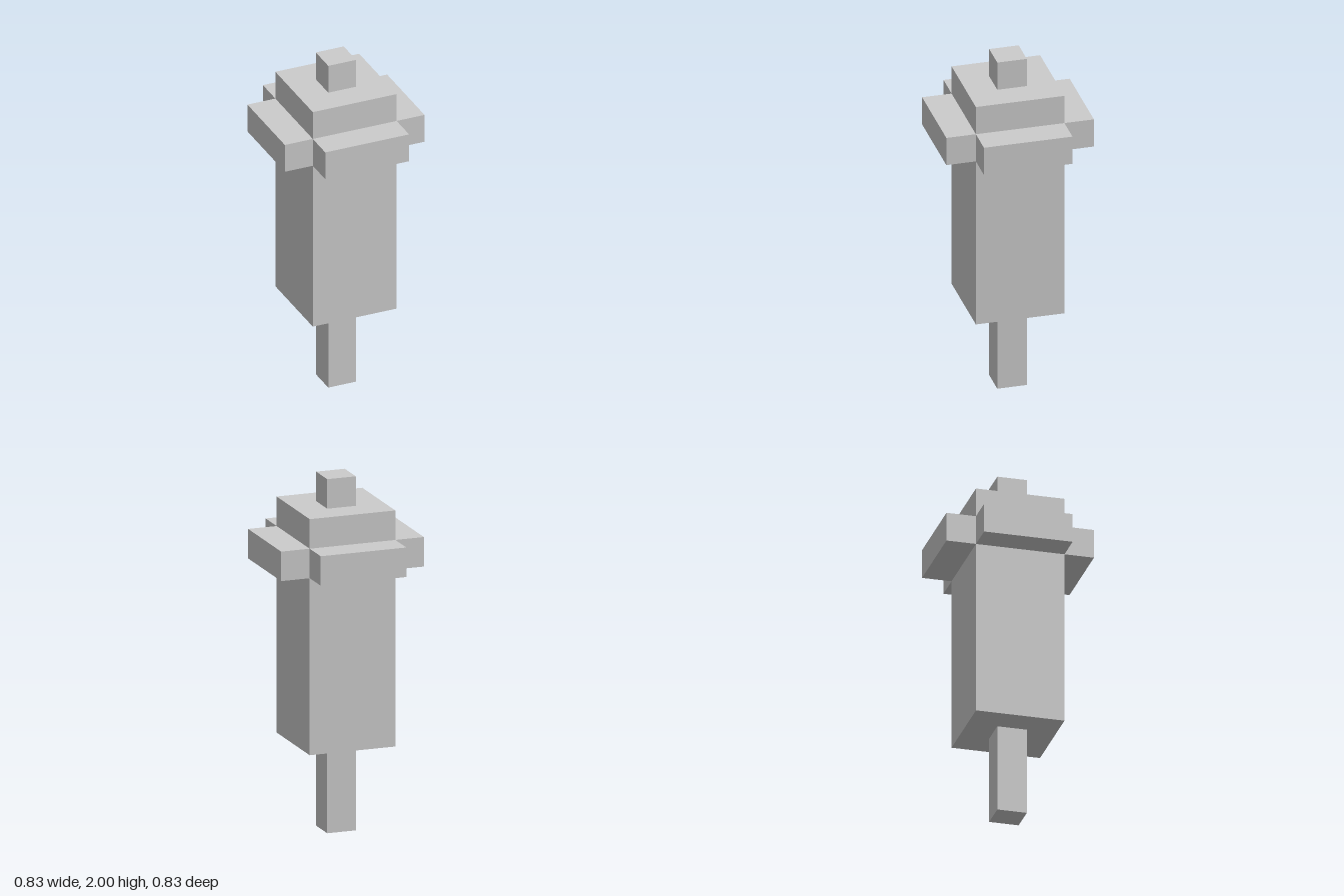
import * as THREE from 'three';

const U = 1 / 6; // block unit: every size is a whole number of these

export function createModel() {
  const model = new THREE.Group();
  model.name = 'blockPost';
  const material = new THREE.MeshStandardMaterial({ color: 0xcccccc, flatShading: true });

  // Box sized in block units, standing on height y
  function block(name, width, height, depth, y, x = 0, z = 0) {
    const mesh = new THREE.Mesh(new THREE.BoxGeometry(width * U, height * U, depth * U), material);
    mesh.name = name;
    mesh.position.set(x * U, (y + height / 2) * U, z * U);
    model.add(mesh);
  }

  block('stem', 1, 3, 1, 0);
  block('body', 3, 8, 3, 3);
  block('topKnob', 1, 1, 1, 11);

  // Four ledges around the upper body, leaving the corners open
  for (const side of [1, -1]) {
    block(side > 0 ? 'leftLedge' : 'rightLedge', 1, 1, 3, 9, side * 2, 0);
    block(side > 0 ? 'frontLedge' : 'backLedge', 3, 1, 1, 9, 0, side * 2);
  }

  return model;
}
